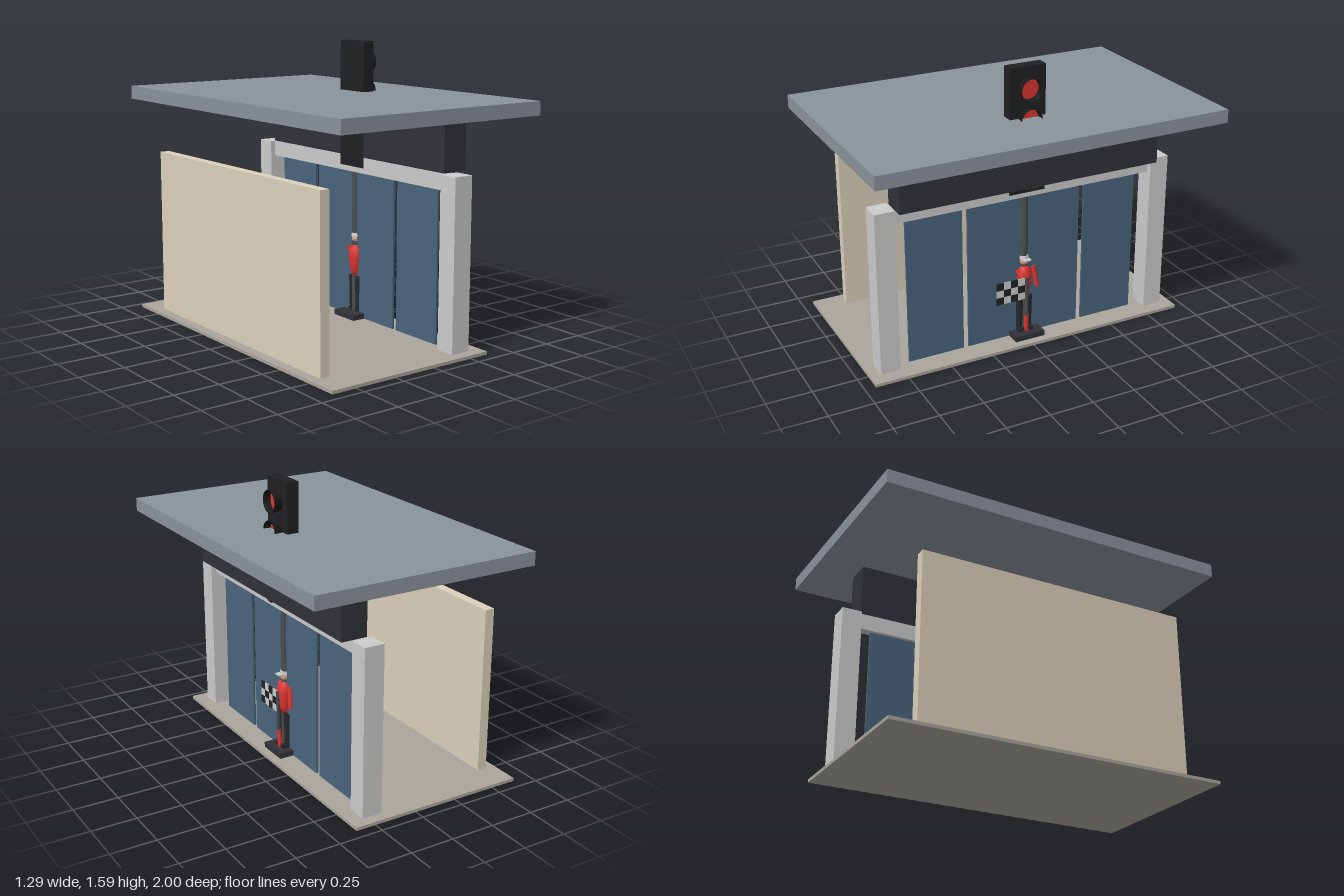
import * as THREE from 'three';

const mat = (color, side = THREE.FrontSide) =>
  new THREE.MeshStandardMaterial({ color, side });

const M = {
  roof: mat(0x8a939a), slab: mat(0xaaa69d), wall: mat(0xdcd0bb), pillar: mat(0xd2d2ce),
  glass: mat(0x4a647c), sign: mat(0x303238), black: mat(0x1e2022), hood: mat(0x1a1a1a, THREE.DoubleSide),
  pole: mat(0x4a4d50), red: mat(0xdd3530), green: mat(0x2e8b4f), lampGreen: mat(0x2ed860),
  skin: mat(0xd8a47f), white: mat(0xd8dad6), dark: mat(0x26282b),
};

export function createModel() {
  const root = new THREE.Group();

  const add = (name, geometry, material, parent = root) => {
    const mesh = new THREE.Mesh(geometry, material);
    mesh.name = name;
    parent.add(mesh);
    return mesh;
  };
  // Box given by its extents along each axis
  const box = (name, material, [x0, x1], [y0, y1], [z0, z1], parent = root) => {
    const mesh = add(name, new THREE.BoxGeometry(x1 - x0, y1 - y0, z1 - z0), material, parent);
    mesh.position.set((x0 + x1) / 2, (y0 + y1) / 2, (z0 + z1) / 2);
    return mesh;
  };
  // Tapered limb between two points
  const limb = (name, material, a, b, ra, rb, parent) => {
    const p = new THREE.Vector3(...a), q = new THREE.Vector3(...b);
    const d = q.clone().sub(p);
    const mesh = add(name, new THREE.CylinderGeometry(rb, ra, d.length(), 12), material, parent);
    mesh.position.copy(p).add(q).multiplyScalar(0.5);
    mesh.quaternion.setFromUnitVectors(new THREE.Vector3(0, 1, 0), d.normalize());
    return mesh;
  };

  // Building shell
  box('floorSlab', M.slab, [-0.645, 0.365], [0, 0.018], [-0.94, 0.94]);
  box('roof', M.roof, [-0.645, 0.645], [1.24, 1.315], [-1, 1]);
  box('backWall', M.wall, [-0.59, -0.535], [0.018, 0.95], [-0.77, 0.77]);
  for (const s of [-1, 1]) {
    box('pillar', M.pillar, [0.175, 0.29], [0.018, 0.948], s < 0 ? [-0.88, -0.768] : [0.768, 0.88]);
  }
  box('lintel', M.pillar, [0.202, 0.258], [0.86, 0.949], [-0.768, 0.768]);

  // Glass panels with gaps between them
  for (const z of [[-0.695, -0.37], [-0.34, 0.34], [0.37, 0.695]]) {
    box('windowPanel', M.glass, [0.224, 0.236], [0.018, 0.86], z);
  }

  // Fascia board with green trim
  box('fascia', M.sign, [0.202, 0.35], [0.95, 1.24], [-0.765, 0.765]);
  box('fasciaTrim', M.green, [0.34, 0.355], [1.216, 1.24], [-0.765, 0.765]);

  // Signal light on its pole
  const signal = new THREE.Group();
  signal.name = 'signalLight';
  root.add(signal);
  box('signalBase', M.sign, [0.147, 0.32], [0.018, 0.048], [-0.09, 0.09], signal);
  limb('signalPole', M.pole, [0.233, 0.04, 0], [0.233, 0.9, 0], 0.022, 0.022, signal);
  box('signalHousing', M.black, [0.2, 0.268], [0.89, 1.592], [-0.104, 0.104], signal);
  [M.lampGreen, M.lampGreen, M.red, M.red].forEach((material, i) => {
    const y = 0.98 + i * 0.165;
    const lens = add('lens', new THREE.CylinderGeometry(0.056, 0.056, 0.012, 24), material, signal);
    lens.rotation.z = -Math.PI / 2;
    lens.position.set(0.272, y, 0);
    const hood = add('lampHood', new THREE.CylinderGeometry(0.062, 0.056, 0.053, 24, 1, true), M.hood, signal);
    hood.rotation.z = -Math.PI / 2;
    hood.position.set(0.294, y, 0);
  });

  // Marshal figure in front of the pole
  const figure = new THREE.Group();
  figure.name = 'marshal';
  root.add(figure);
  const X = 0.235;
  for (const s of [-1, 1]) {
    limb('leg', M.dark, [X, 0.065, s * 0.028], [X, 0.255, s * 0.026], 0.018, 0.024, figure);
    box('shoe', M.dark, [X - 0.02, X + 0.04], [0.048, 0.068], [s * 0.028 - 0.016, s * 0.028 + 0.016], figure);
  }
  const torsoProfile = [[0, 0.25], [0.022, 0.255], [0.034, 0.29], [0.043, 0.36], [0.042, 0.41], [0.02, 0.44], [0, 0.445]];
  const torso = add('torso', new THREE.LatheGeometry(torsoProfile.map((p) => new THREE.Vector2(...p)), 16), M.red, figure);
  torso.position.x = X;
  limb('neck', M.skin, [X, 0.435, 0], [X, 0.465, 0], 0.014, 0.014, figure);
  const head = add('head', new THREE.SphereGeometry(0.026, 16, 12), M.skin, figure);
  head.position.set(X, 0.472, 0);
  head.scale.y = 1.15;
  limb('cap', M.white, [X, 0.485, 0], [X, 0.505, 0], 0.029, 0.025, figure);
  box('capPeak', M.white, [X, X + 0.05], [0.484, 0.49], [-0.022, 0.022], figure);
  limb('rightArm', M.red, [X, 0.425, -0.058], [X + 0.01, 0.3, -0.078], 0.015, 0.012, figure);
  limb('leftArm', M.red, [X, 0.42, 0.042], [X + 0.035, 0.37, 0.018], 0.015, 0.012, figure);
  limb('flagStick', M.pole, [0.278, 0.15, 0.004], [0.278, 0.385, 0.004], 0.01, 0.01, figure);
  limb('flagGrip', M.red, [0.268, 0.05, 0], [0.276, 0.15, 0.002], 0.014, 0.012, figure);

  // Chequered flag
  const cell = 0.0433;
  for (let row = 0; row < 3; row++) {
    for (let col = 0; col < 4; col++) {
      const y = 0.385 - row * cell, z = 0.19 - col * cell;
      box('flagSquare', (row + col) % 2 ? M.white : M.black,
        [0.276, 0.281], [y - cell, y], [z - cell, z], figure);
    }
  }
  return root;
}
